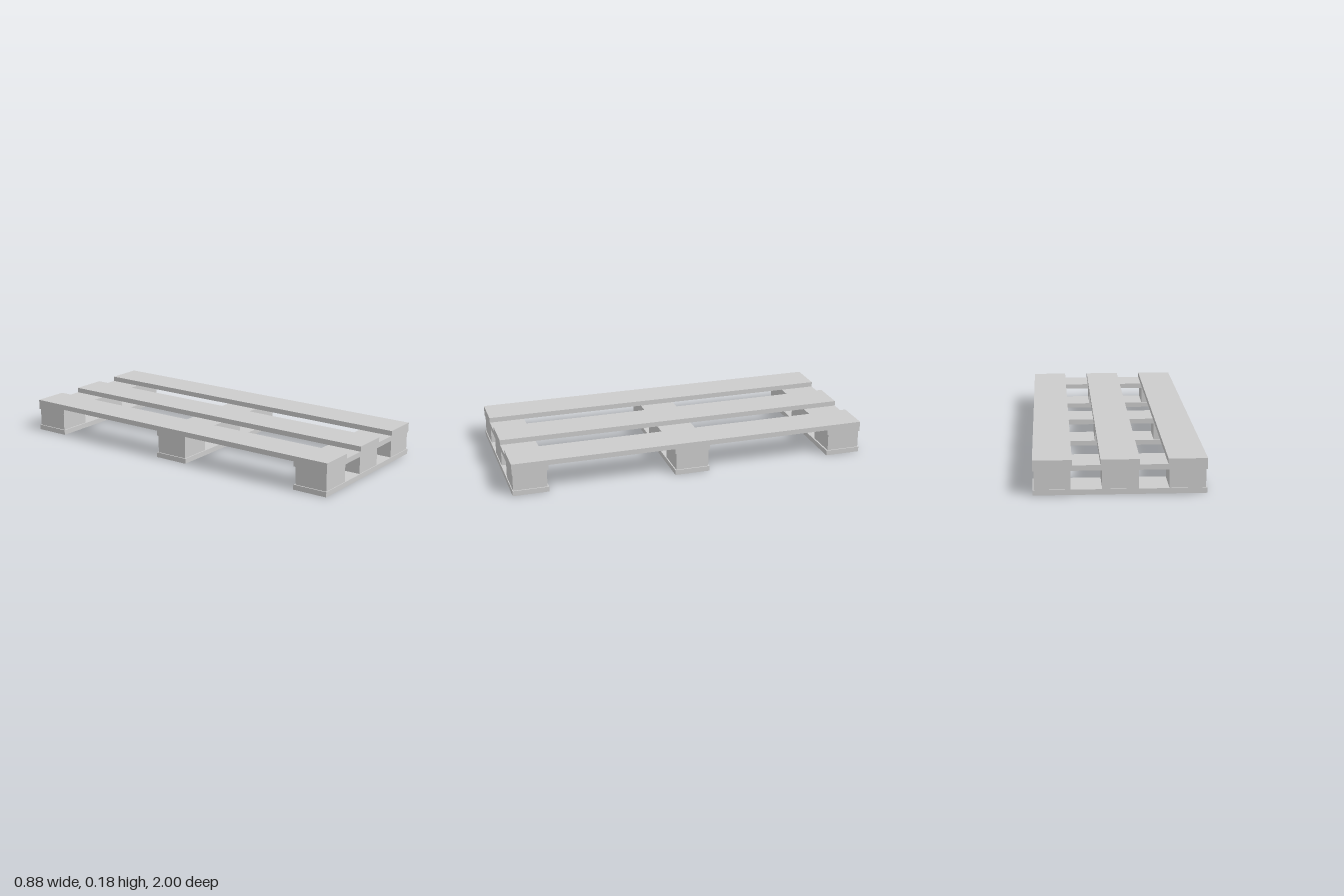
import * as THREE from 'three';

export function createModel() {
  const group = new THREE.Group();
  const wood = new THREE.MeshStandardMaterial({ color: 0xcccccc, flatShading: true });

  const width = 0.878, length = 2, boardWidth = 0.198;
  const board = 0.028, blockHeight = 0.098, blockSize = 0.185;
  const columns = [-0.34, 0, 0.34];
  const rows = [-0.9, 0, 0.9];

  // Adds a box resting on height y
  function addBox(name, w, h, d, x, y, z) {
    const mesh = new THREE.Mesh(new THREE.BoxGeometry(w, h, d), wood);
    mesh.name = name;
    mesh.position.set(x, y + h / 2, z);
    group.add(mesh);
  }

  // Each row: bottom board, three spacer blocks, cross board
  for (const z of rows) {
    addBox('bottomBoard', width, board, boardWidth, 0, 0, z);
    for (const x of columns) {
      addBox('spacerBlock', blockSize, blockHeight, blockSize, x === 0 ? -0.0025 : x, board, z * 1.0025);
    }
    addBox('crossBoard', width, board, boardWidth, 0, board + blockHeight, z);
  }

  // Long deck boards on top
  for (const x of columns) {
    addBox('deckBoard', boardWidth, board, length, x, 2 * board + blockHeight, 0);
  }

  return group;
}
